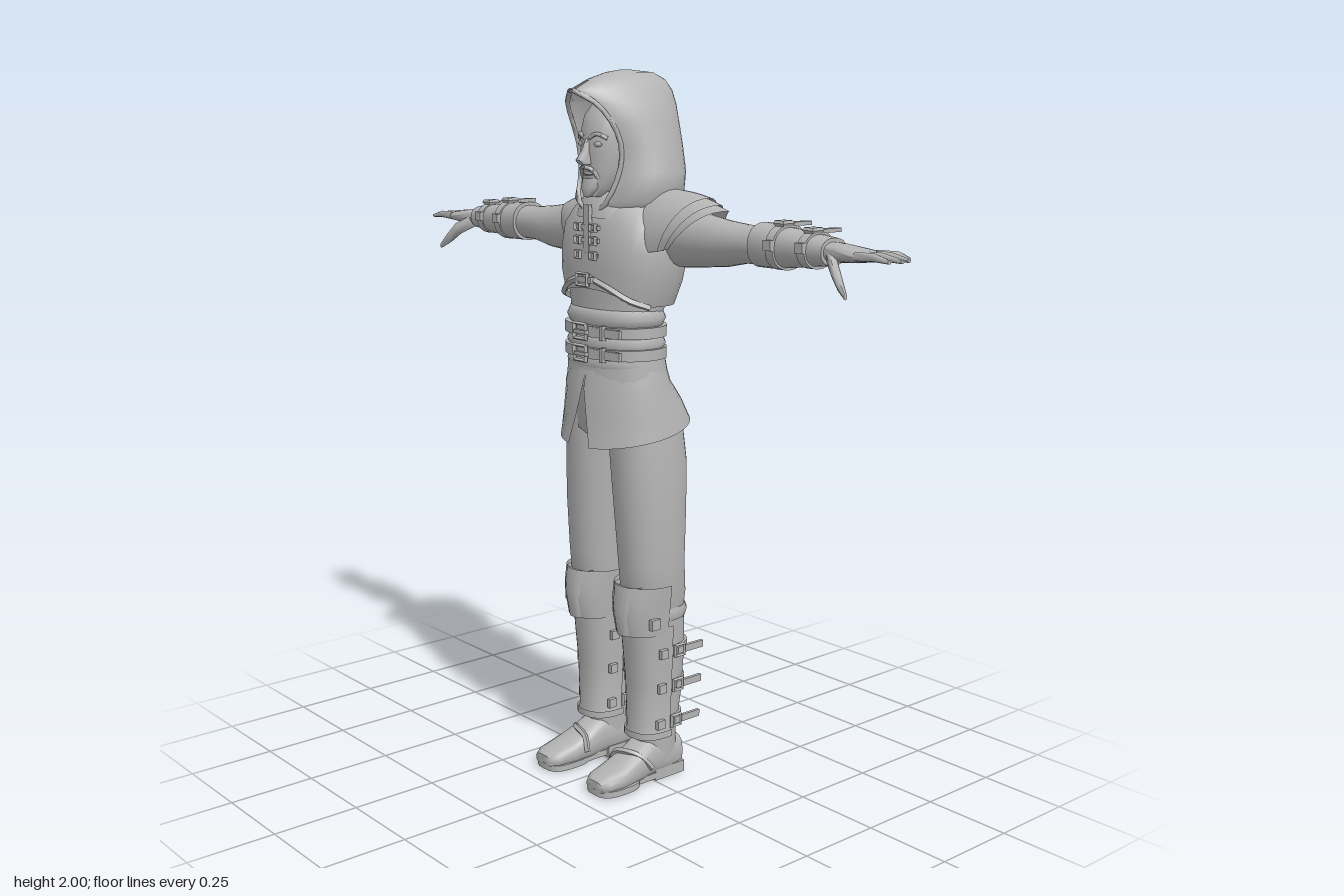
import * as THREE from 'three';
import { toCreasedNormals } from 'three/addons/utils/BufferGeometryUtils.js';

const grey = new THREE.MeshStandardMaterial({ color: 0xb4b4b4, side: THREE.DoubleSide });
grey.name = 'plain grey';
const PI = Math.PI;

// Surface from fn(u, v) -> [x, y, z] on a grid
function grid(nu, nv, fn) {
  const pos = [], idx = [];
  for (let j = 0; j <= nv; j++) for (let i = 0; i <= nu; i++) pos.push(...fn(i / nu, j, i));
  for (let j = 0; j < nv; j++) for (let i = 0; i < nu; i++) {
    const a = j * (nu + 1) + i, b = a + 1, c = a + nu + 1, d = c + 1;
    idx.push(a, b, d, a, d, c);
  }
  const g = new THREE.BufferGeometry();
  g.setAttribute('position', new THREE.Float32BufferAttribute(pos, 3));
  g.setIndex(idx);
  return g;
}

// Rounded cross-sections [t, a, b, radiusA, radiusB] joined along an axis; a0..a1 limits the sweep
function loft(rings, { axis = 'y', a0 = -PI, a1 = PI, p = 2.2, seg = 24, cap = true, warp } = {}) {
  const r = cap ? [[...rings[0].slice(0, 3), 0, 0], ...rings, [...rings.at(-1).slice(0, 3), 0, 0]] : rings;
  const pw = v => Math.sign(v) * Math.abs(v) ** (2 / p);
  return grid(seg, r.length - 1, (u, j) => {
    const [t, ca, cb, ra, rb] = r[j], a = a0 + (a1 - a0) * u;
    const A = ca + ra * pw(Math.sin(a)), B = cb + rb * pw(Math.cos(a));
    const q = axis === 'y' ? [A, t, B] : axis === 'x' ? [t, B, A] : [A, B, t];
    return warp ? warp(q, a) : q;
  });
}

const box = (w, h, d, x, y, z) => new THREE.BoxGeometry(w, h, d).translate(x, y, z);
const ball = (r, x, y, z, sx = 1, sy = 1, sz = 1) => new THREE.SphereGeometry(r, 12, 8).scale(sx, sy, sz).translate(x, y, z);
const tube = (pts, r, sides = 8) => new THREE.TubeGeometry(
  new THREE.CatmullRomCurve3(pts.map(q => new THREE.Vector3(...q))), 12, r, sides);

export function createModel() {
  const model = new THREE.Group();
  const add = (name, geo, crease = 0.8) => {
    const m = new THREE.Mesh(toCreasedNormals(geo, crease), grey);
    m.name = name;
    model.add(m);
  };
  // Adds the part on +x and its mirror image on -x
  const pair = (name, geo, crease) => {
    add('left ' + name, geo, crease);
    const g = geo.clone().scale(-1, 1, 1), ix = g.index.array;
    for (let i = 0; i < ix.length; i += 3) [ix[i], ix[i + 1]] = [ix[i + 1], ix[i]];
    add('right ' + name, g, crease);
  };
  // Square buckle frame facing +z
  const frame = (w, h) => new THREE.TorusGeometry(0.5, 0.12, 4, 4).rotateZ(PI / 4).scale(w * 1.15, h * 1.15, 0.06);

  // Head and face
  add('head', loft([[1.665, 0, 0.08, 0.025, 0.035], [1.69, 0, 0.065, 0.045, 0.052], [1.73, 0, 0.045, 0.066, 0.072],
    [1.78, 0, 0.03, 0.076, 0.09], [1.83, 0, 0.025, 0.08, 0.094], [1.88, 0, 0.015, 0.078, 0.09], [1.93, 0, 0, 0.055, 0.065]]), 1.2);
  add('nose', loft([[1.752, 0, 0.125, 0.017, 0.018], [1.763, 0, 0.13, 0.016, 0.025], [1.79, 0, 0.12, 0.009, 0.015],
    [1.82, 0, 0.113, 0.008, 0.007]], { seg: 10 }), 1.2);
  add('beard', loft([[1.665, 0, 0.115, 0.01, 0.012], [1.69, 0, 0.105, 0.03, 0.025], [1.715, 0, 0.1, 0.034, 0.022]], { seg: 12 }), 1.2);
  add('mouth', ball(0.02, 0, 1.727, 0.115, 1.1, 0.25, 0.5));
  pair('moustache', tube([[0.004, 1.745, 0.13], [0.022, 1.738, 0.12], [0.033, 1.715, 0.105]], 0.006, 6), 1.2);
  pair('eye', ball(0.013, 0.033, 1.805, 0.108, 1.1, 0.6, 0.7));
  pair('brow', tube([[0.012, 1.822, 0.118], [0.035, 1.832, 0.113], [0.058, 1.82, 0.095]], 0.006, 6), 1.2);
  pair('ear', ball(0.025, 0.08, 1.79, 0.01, 0.35, 1.2, 0.7));
  add('neck', loft([[1.58, 0, -0.01, 0.075, 0.08], [1.71, 0, 0.01, 0.058, 0.062]]));

  // Hood: [y, half width, front edge z, back z, half opening]
  const hood = [[1.63, 0.14, 0.1, -0.13, 0.03], [1.655, 0.17, 0.1, -0.152, 0.06], [1.73, 0.158, 0.075, -0.178, 0.082],
    [1.8, 0.142, 0.075, -0.175, 0.09], [1.86, 0.126, 0.1, -0.17, 0.084], [1.91, 0.11, 0.135, -0.166, 0.062],
    [1.945, 0.092, 0.17, -0.16, 0.006], [1.975, 0.07, 0.105, -0.14, 0], [1.993, 0.045, 0.045, -0.105, 0], [2, 0.005, 0, -0.03, 0]];
  const hoodPoint = ([y, w, zf, zb, open], u) => {
    const s = Math.asin(open / w), a = (2 * u - 1) * (PI - s), zc = y > 1.98 ? -0.03 : -0.04;
    const c = Math.cos(a);
    return [-w * Math.sin(a), y, c > 0 ? zc + (zb - zc) * c : zc - (zf - zc) / Math.cos(s) * c];
  };
  add('hood', grid(32, hood.length - 1, (u, j) => hoodPoint(hood[j], u)), 1.2);
  pair('hood hem', tube(hood.slice(0, 7).map(r => hoodPoint(r, 0)), 0.007, 6), 1.2);

  // Torso, breastplate with an arched lower edge, collar
  add('waist', loft([[1.15, 0, 0.01, 0.165, 0.118], [1.2, 0, 0.015, 0.163, 0.11], [1.28, 0, 0.018, 0.15, 0.1],
    [1.35, 0, 0.015, 0.146, 0.102], [1.45, 0, 0, 0.175, 0.118]]), 1.2);
  add('breastplate', loft([[1.375, 0, 0.005, 0.166, 0.118], [1.44, 0, -0.002, 0.188, 0.128], [1.52, 0, -0.012, 0.197, 0.135],
    [1.59, 0, -0.018, 0.188, 0.132], [1.635, 0, -0.025, 0.155, 0.12], [1.665, 0, -0.02, 0.1, 0.09]], {
    p: 2.5, seg: 32, cap: false,
    warp: ([x, y, z], a) => [x, y + (y < 1.45 ? 0.045 : 0) * Math.max(0, Math.cos(a)) ** 2, z] }), 1.2);
  add('collar', loft([[1.61, 0, 0, 0.13, 0.115], [1.65, 0, 0, 0.115, 0.105], [1.68, 0, 0, 0.08, 0.085]], { cap: false }));
  add('chest placket', box(0.022, 0.17, 0.012, 0, 1.56, 0.118));
  for (const y of [1.51, 1.55, 1.585]) {
    add('chest clasp strap', box(0.1, 0.012, 0.01, 0, y, 0.12));
    pair('chest clasp', frame(0.026, 0.024).translate(0.032, y, 0.125));
  }
  pair('chest strap', tube([[0, 1.455, 0.128], [0.08, 1.43, 0.12], [0.14, 1.395, 0.088], [0.168, 1.375, 0.04]], 0.009, 4));
  add('chest buckle', frame(0.055, 0.04).translate(0, 1.445, 0.137));
  add('chest buckle pin', box(0.06, 0.016, 0.012, 0.01, 1.445, 0.134));

  // Waist sash folds and two belts
  const band = (y, h, rx, rz, cz = 0.02) => loft([[y - h / 2, 0, cz, rx, rz], [y + h / 2, 0, cz, rx, rz]], { seg: 32 });
  for (const y of [1.215, 1.27, 1.34]) add('sash fold', loft([[y - 0.025, 0, 0.018, 0.148, 0.1],
    [y, 0, 0.018, 0.159, 0.111], [y + 0.025, 0, 0.018, 0.148, 0.1]], { seg: 32 }), 1.2);
  for (const y of [1.245, 1.305]) {
    add('belt', band(y, 0.03, 0.163, 0.115));
    add('belt buckle', frame(0.06, 0.05).translate(0, y, 0.145));
    add('belt pin', box(0.05, 0.01, 0.012, 0.01, y, 0.15));
    add('belt loop', box(0.012, 0.04, 0.014, 0.075, y, 0.128));
    add('belt tail', box(0.1, 0.024, 0.01, 0.07, y, 0.132).rotateY(0.12));
  }

  // Tunic skirt with a slit in front and a longer front hem
  const skirt = [[1.2, 0.163, 0.112, 0.012, 0], [1.155, 0.172, 0.125, 0.012, 0.02], [1.09, 0.183, 0.15, -0.005, 0.12], [1.02, 0.195, 0.173, -0.015, 0.23]];
  add('tunic skirt', grid(36, 3, (u, j) => {
    const [y, rx, rz, cz, gap] = skirt[3 - j], a = gap + u * (2 * PI - 2 * gap), c = Math.cos(a);
    return [rx * Math.sin(a), y - 0.035 * c * (1.2 - y) / 0.18, cz + rz * c];
  }), 1.2);

  // Arms, bracers and hands
  pair('sleeve', loft([[0.12, -0.05, 1.565, 0.07, 0.07], [0.2, -0.06, 1.565, 0.073, 0.085], [0.27, -0.06, 1.558, 0.062, 0.072],
    [0.37, -0.055, 1.556, 0.057, 0.06], [0.44, -0.055, 1.56, 0.052, 0.05], [0.54, -0.055, 1.562, 0.048, 0.048]], { axis: 'x', p: 2 }), 1.2);
  pair('bracer', loft([[0.495, -0.058, 1.563, 0.062, 0.057], [0.55, -0.056, 1.561, 0.06, 0.055], [0.64, -0.055, 1.562, 0.053, 0.045],
    [0.735, -0.055, 1.562, 0.046, 0.034]], { axis: 'x', p: 2.3 }), 1.2);
  for (const [x, rz, ry] of [[0.575, 0.063, 0.057], [0.675, 0.055, 0.046]]) {
    pair('bracer strap', loft([[x - 0.013, -0.055, 1.562, rz, ry], [x + 0.013, -0.055, 1.562, rz, ry]], { axis: 'x' }));
    pair('bracer buckle', frame(0.036, 0.04).rotateX(-PI / 2).translate(x, 1.565 + ry, -0.045));
    pair('bracer strap tail', box(0.02, 0.01, 0.09, x, 1.562 + ry, -0.09));
    pair('bracer stud', box(0.026, 0.026, 0.014, x, 1.57, -0.055 + rz));
  }
  pair('palm', loft([[0.71, -0.055, 1.562, 0.034, 0.026], [0.77, -0.053, 1.562, 0.04, 0.023], [0.83, -0.053, 1.56, 0.05, 0.017],
    [0.865, -0.053, 1.56, 0.048, 0.012]], { axis: 'x' }), 1.2);
  [[0.925, -0.107], [0.95, -0.078], [0.957, -0.046], [0.945, -0.014]].forEach(([tip, z], i) => {
    const z0 = -0.09 + i * 0.025;
    pair('finger', loft([[0.84, z0, 1.561, 0.012, 0.012], [0.9, (z0 + z) / 2, 1.563, 0.011, 0.01], [tip, z, 1.556, 0.006, 0.005]],
      { axis: 'x', seg: 8 }), 1.2);
  });
  pair('thumb', loft([[0.75, -0.03, 1.55, 0.018, 0.02], [0.79, 0, 1.525, 0.016, 0.02], [0.82, 0.014, 1.495, 0.012, 0.016],
    [0.848, 0.025, 1.47, 0.006, 0.008]], { axis: 'x', seg: 10 }), 1.2);

  // Shoulder plates: overlapping shells with a pointed outer edge
  const plate = (x0, x1, point, r0, r1, side) => grid(20, 4, (u, j) => {
    const v = j / 4, a = (2 * u - 1) * 1.75 * side, r = r0 + (r1 - r0) * v ** 2;
    const x = x0 + v * (x1 - x0 + point * (1 - Math.abs(2 * u - 1)));
    return [side * x, 1.55 + r * Math.cos(a) * 1.06, -0.05 + r * 0.88 * Math.sin(a)];
  });
  [[0.15, 0.22, 0.155, 0.118, 0.085], [0.15, 0.215, 0.13, 0.126, 0.098], [0.14, 0.205, 0.1, 0.13, 0.113]]
    .forEach(l => add('left shoulder plate', plate(...l, 1), 1.2));
  add('right shoulder plate', plate(0.15, 0.23, 0.075, 0.105, 0.074, -1), 1.2);
  add('right shoulder cap', plate(0.14, 0.2, 0.05, 0.11, 0.088, -1), 1.2);

  // Trousers
  add('hips', loft([[0.98, 0, -0.015, 0.12, 0.08], [1.02, 0, -0.01, 0.17, 0.115], [1.18, 0, 0.01, 0.16, 0.108]]), 1.2);
  pair('trouser leg', loft([[0.45, 0.108, -0.03, 0.068, 0.08], [0.52, 0.108, -0.033, 0.074, 0.088], [0.56, 0.11, -0.027, 0.08, 0.096],
    [0.65, 0.11, -0.02, 0.083, 0.097], [0.8, 0.106, -0.018, 0.088, 0.106], [0.93, 0.099, -0.018, 0.091, 0.113],
    [1.06, 0.09, -0.01, 0.088, 0.11]]), 1.2);

  // Boots, shin guards and knee guards
  pair('boot shaft', loft([[0.05, 0.108, -0.045, 0.05, 0.06], [0.13, 0.108, -0.035, 0.053, 0.065], [0.25, 0.108, -0.045, 0.058, 0.075],
    [0.38, 0.108, -0.043, 0.066, 0.085], [0.5, 0.108, -0.035, 0.071, 0.088]]), 1.2);
  pair('boot cuff', loft([[0.485, 0.108, -0.036, 0.074, 0.09], [0.505, 0.108, -0.036, 0.079, 0.094], [0.52, 0.108, -0.036, 0.074, 0.09]]));
  const front = { a0: -1.75, a1: 1.75, cap: false, seg: 16, p: 2.4 };
  pair('shin guard', loft([[0.14, 0.108, -0.025, 0.066, 0.078], [0.16, 0.108, -0.025, 0.061, 0.073], [0.3, 0.108, -0.025, 0.067, 0.076],
    [0.47, 0.108, -0.02, 0.076, 0.086]], front), 1.2);
  pair('shin guard hem', loft([[0.135, 0.108, -0.025, 0.068, 0.08], [0.155, 0.108, -0.025, 0.068, 0.08]], front));
  pair('knee guard', loft([[0.45, 0.108, -0.015, 0.075, 0.1], [0.51, 0.108, -0.015, 0.08, 0.112], [0.55, 0.108, -0.015, 0.085, 0.11],
    [0.595, 0.108, -0.015, 0.09, 0.1]], { ...front, a0: -1.6, a1: 1.6 }), 0.6);
  pair('knee ridge', loft([[0.45, 0.108, 0, 0.038, 0.092], [0.53, 0.108, 0, 0.047, 0.104], [0.595, 0.108, 0, 0.058, 0.092]],
    { ...front, a0: -1.2, a1: 1.2, p: 3 }), 0.6);
  pair('knee stud', box(0.014, 0.03, 0.03, 0.188, 0.49, 0.035));
  for (const y of [0.18, 0.29, 0.395]) {
    const w = 0.06 + (y - 0.18) * 0.06, d = 0.076 + (y - 0.18) * 0.075;
    pair('boot strap', loft([[y - 0.013, 0.108, -0.044, w, d], [y + 0.013, 0.108, -0.044, w, d]]));
    for (const s of [-1, 1]) {
      pair('boot strap buckle', frame(0.04, 0.04).rotateY(PI / 2).translate(0.108 + s * (w + 0.008), y, -0.058));
      pair('boot strap stud', box(0.012, 0.026, 0.026, 0.108 + s * (w + 0.007), y, 0));
    }
    pair('boot strap tail', box(0.01, 0.02, 0.095, 0.113 + w, y, -0.1));
  }

  // Feet, with rings running from toe to heel
  pair('foot', loft([[0.197, 0.118, 0.03, 0.035, 0.016], [0.175, 0.117, 0.034, 0.05, 0.024], [0.12, 0.115, 0.04, 0.055, 0.034],
    [0.06, 0.111, 0.053, 0.052, 0.047], [0.01, 0.108, 0.07, 0.051, 0.06], [-0.06, 0.107, 0.065, 0.051, 0.055],
    [-0.112, 0.106, 0.06, 0.04, 0.05]], { axis: 'z', p: 2.8, seg: 20 }), 1);
  pair('sole', loft([[0.004, 0.116, 0.125, 0.057, 0.073], [0.022, 0.116, 0.125, 0.057, 0.073]], { p: 3 }));
  pair('instep sole', box(0.085, 0.018, 0.14, 0.11, 0.015, 0.04));
  pair('heel', box(0.094, 0.034, 0.11, 0.106, 0.017, -0.058));
  pair('foot strap', tube([[0.052, 0.045, 0.085], [0.07, 0.087, 0.08], [0.113, 0.1, 0.075], [0.15, 0.088, 0.05], [0.164, 0.05, 0.02]], 0.009, 5));
  return model;
}
